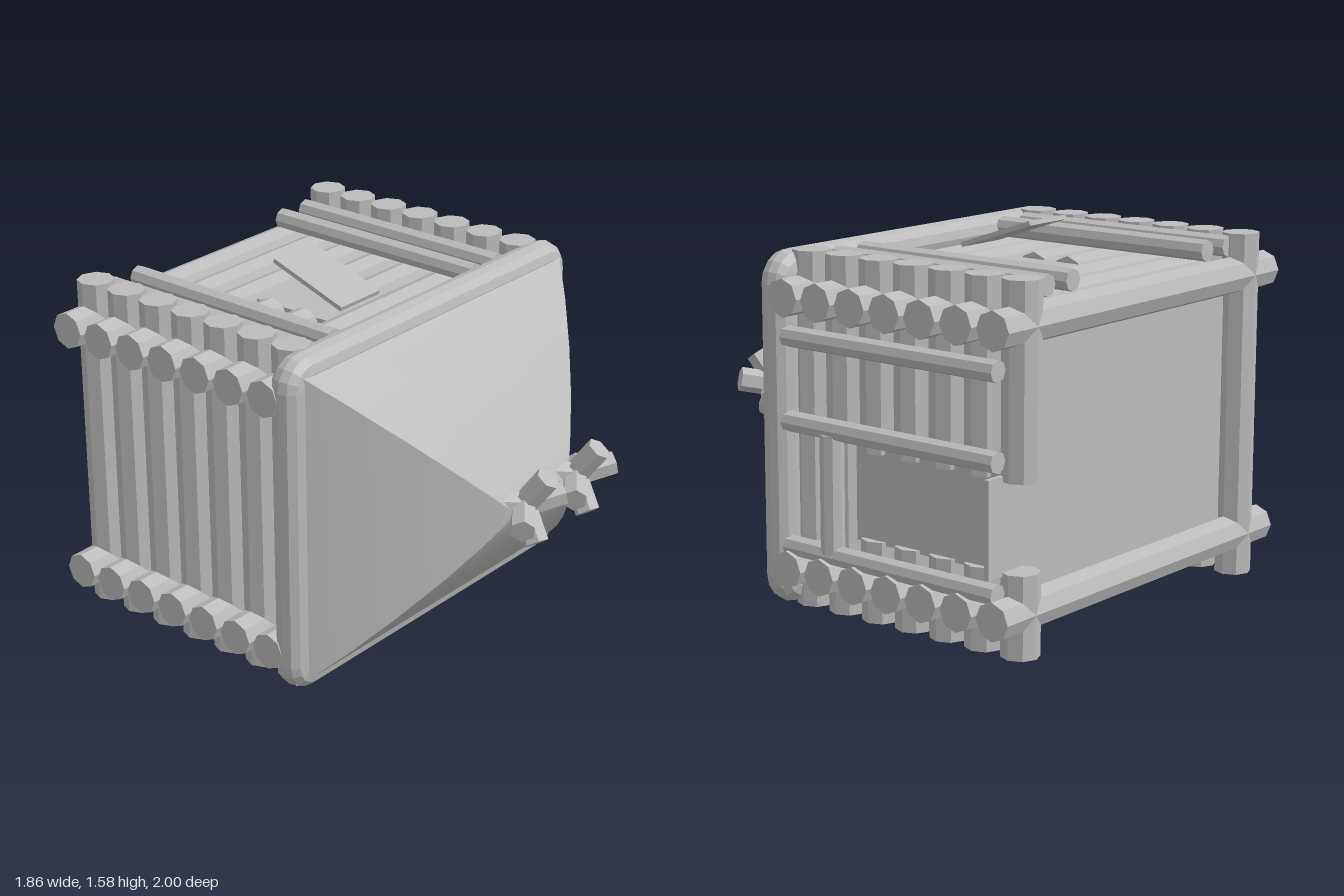
import * as THREE from 'three';

const flat = g => { const n = g.toNonIndexed(); n.computeVertexNormals(); return n; };

export function createModel() {
  const model = new THREE.Group();
  const grey = new THREE.MeshStandardMaterial({ color: 0xbbbbbb });
  grey.name = 'plain grey';

  const add = (name, geo, parent = model) => {
    const mesh = new THREE.Mesh(geo, grey);
    mesh.name = name;
    parent.add(mesh);
    return mesh;
  };
  const group = name => {
    const g = new THREE.Group();
    g.name = name;
    model.add(g);
    return g;
  };
  // straight round timber between two points
  const UP = new THREE.Vector3(0, 1, 0);
  const log = (name, a, b, r, parent, sides = 8) => {
    const p = new THREE.Vector3(...a), q = new THREE.Vector3(...b);
    const d = q.clone().sub(p);
    const m = add(name, flat(new THREE.CylinderGeometry(r, r, d.length(), sides)), parent);
    m.position.copy(p).add(q).multiplyScalar(0.5);
    m.quaternion.setFromUnitVectors(UP, d.normalize());
  };
  const box = (name, x0, x1, y0, y1, z0, z1) => {
    const m = add(name, new THREE.BoxGeometry(x1 - x0, y1 - y0, z1 - z0));
    m.position.set((x0 + x1) / 2, (y0 + y1) / 2, (z0 + z1) / 2);
  };
  // grid of vertices from a rule p(i, j)
  const grid = (nu, nv, p) => {
    const pos = [], idx = [];
    for (let i = 0; i <= nu; i++) for (let j = 0; j <= nv; j++) pos.push(...p(i, j));
    for (let i = 0; i < nu; i++) for (let j = 0; j < nv; j++) {
      const a = i * (nv + 1) + j, b = a + nv + 1;
      idx.push(a, b, b + 1, a, b + 1, a + 1);
    }
    const g = new THREE.BufferGeometry();
    g.setAttribute('position', new THREE.Float32BufferAttribute(pos, 3));
    g.setIndex(idx);
    g.computeVertexNormals();
    return g;
  };

  // inner walls, window panel and hatch floor
  box('innerShell', -0.75, 0.75, 0.18, 1.32, -0.88, 0.25);
  box('windowPanel', 0.7, 0.79, 0.33, 0.73, -0.88, -0.1);
  box('windowEndPlate', 0.7, 0.9, 0.33, 0.73, -0.88, -0.858);
  box('hatchFloor', -0.25, 0, 1.3, 1.37, -0.465, 0);

  // seven log frames, with a side window and a roof hatch left open
  const frames = group('logFrames');
  for (let i = 0; i < 7; i++) {
    const z = 0.172 - i * 0.182;
    log('floorLog', [-0.93, 0.18, z], [0.93, 0.18, z], 0.08, frames);
    if (i === 2 || i === 3) {
      log('roofLog', [-0.93, 1.32, z], [-0.25, 1.32, z], 0.08, frames);
      log('roofLog', [0, 1.32, z], [0.93, 1.32, z], 0.08, frames);
    } else log('roofLog', [-0.93, 1.32, z], [0.93, 1.32, z], 0.08, frames);
    log('rightPost', [-0.75, 0, z], [-0.75, 1.5, z], 0.08, frames);
    if (i >= 2) {
      log('leftPost', [0.75, 0, z], [0.75, 0.345, z], 0.08, frames);
      log('leftPost', [0.75, 0.71, z], [0.75, 1.5, z], 0.08, frames);
    } else log('leftPost', [0.75, 0, z], [0.75, 1.5, z], 0.08, frames);
  }

  // thin rails on the roof and around the window
  const rails = group('rails');
  for (const x of [-0.672, -0.513, 0.418, 0.577])
    log('roofRail', [x, 1.445, -0.91], [x, 1.445, 0.19], 0.046, rails);
  for (const y of [0.272, 0.8, 1.155])
    log('sideRail', [0.875, y, -0.905], [0.875, y, 0.2], 0.045, rails);
  log('windowPost', [0.875, 0.28, -0.043], [0.875, 0.78, -0.043], 0.05, rails);

  // propped roof hatch
  const hatch = add('roofHatch', new THREE.BoxGeometry(0.25, 0.02, 0.39));
  hatch.position.set(-0.125, 1.505, -0.18);
  hatch.rotation.x = 0.33;

  // rounded rectangular rim: a round section swept round four corners
  const corners = [[1, 1], [-1, 1], [-1, -1], [1, -1]];
  const steps = 4, ringCount = 4 * (steps + 1), rimSides = 12;
  add('frontRim', flat(grid(ringCount, rimSides, (i, j) => {
    const k = i % ringCount, c = Math.floor(k / (steps + 1));
    const t = (c + (k % (steps + 1)) / steps) * Math.PI / 2;
    const f = j / rimSides * Math.PI * 2, r = 0.06 + 0.075 * Math.cos(f);
    return [corners[c][0] * 0.795 + r * Math.cos(t),
      0.75 + corners[c][1] * 0.615 + r * Math.sin(t), 0.255 + 0.075 * Math.sin(f)];
  })));

  // bulging hipped nose ending in a short ridge: [z, half height]
  const profile = [[0.285, 0.71], [0.33, 0.675], [0.45, 0.555], [0.58, 0.41], [0.7, 0.262],
    [0.79, 0.135], [0.84, 0.055], [0.862, 0]];
  const nose = group('nose');
  for (let s = 0; s < 4; s++) {
    const a = corners[s], b = corners[(s + 1) % 4];
    add('noseSide', grid(4, profile.length - 1, (i, j) => {
      const [z, h] = profile[j], t = i / 4;
      return [THREE.MathUtils.lerp(a[0], b[0], t) * (h + 0.175),
        0.745 + THREE.MathUtils.lerp(a[1], b[1], t) * h, z];
    }), nose);
  }

  // two clusters of hexagonal pegs on the nose
  const arms = [[0.033, 0.138, 0.095], [-0.033, -0.132, 0.095], [-0.14, -0.035, 0.1],
    [0.14, 0.035, 0.1], [0.14, -0.035, -0.09], [-0.14, 0.035, -0.09]];
  for (const x of [-0.107, 0.257]) {
    const cluster = group('pegCluster');
    cluster.position.set(x, 0.755, 0.855);
    for (const end of arms) log('peg', [0, 0, 0], end, 0.054, cluster, 6);
  }
  return model;
}
